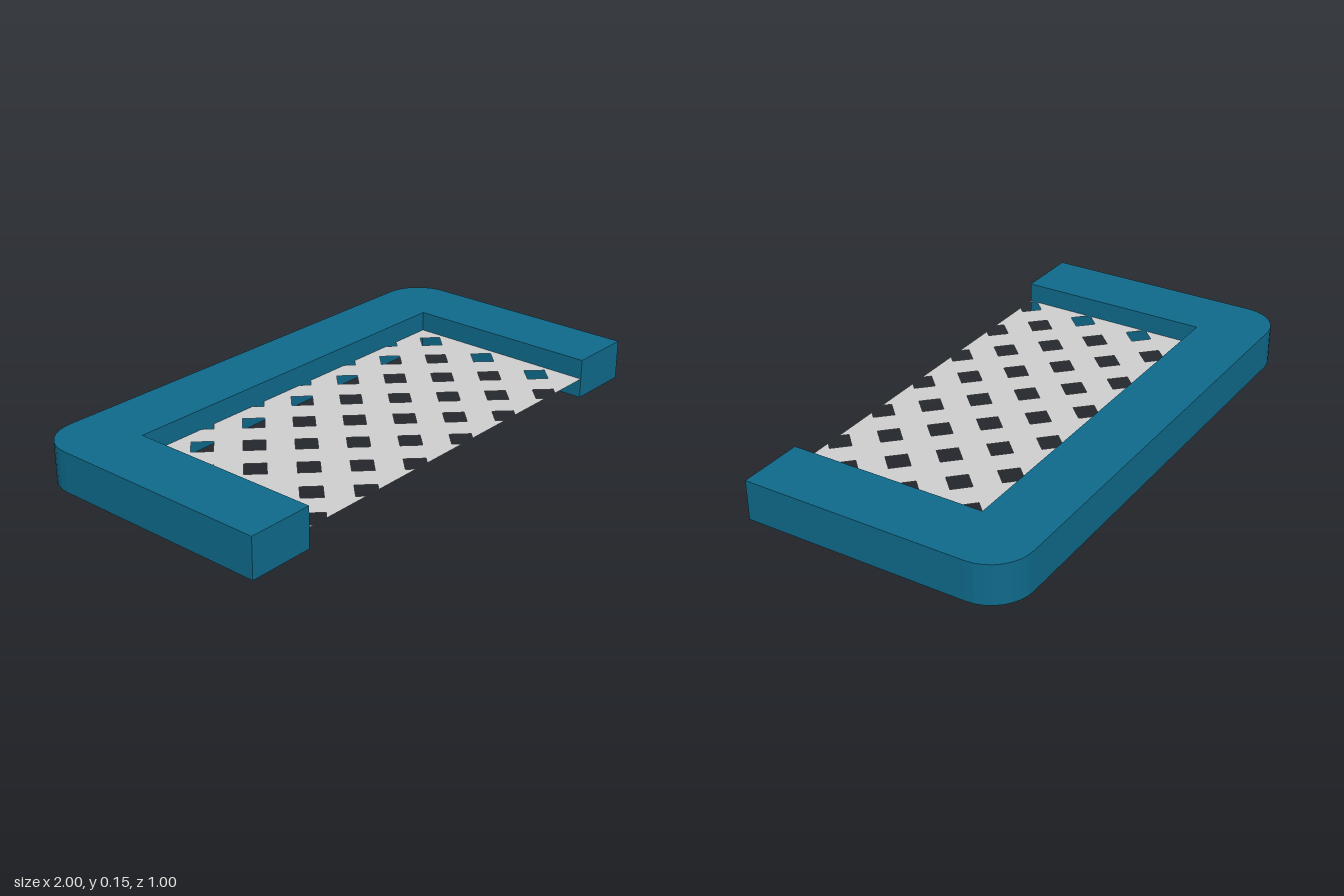
import * as THREE from 'three';

const HEIGHT = 0.15;
const PITCH = 0.25;  // spacing of holes within a row
const HOLE = 0.055;  // half diagonal of a hole

// Shapes are drawn in plan with the back at +y, then laid flat.
function createModel() {
  const group = new THREE.Group();
  const blue = new THREE.MeshStandardMaterial({ color: 0x0f6a8b });
  blue.name = 'frame blue';
  const grey = new THREE.MeshStandardMaterial({ color: 0xcfcfcf, side: THREE.DoubleSide });
  grey.name = 'mesh grey';

  const add = (name, geometry, material, y) => {
    const mesh = new THREE.Mesh(geometry.rotateX(-Math.PI / 2), material);
    mesh.name = name;
    mesh.position.y = y;
    group.add(mesh);
  };

  // U-shaped frame, open at the front, rounded at the two back corners
  const r = 0.15;
  const u = new THREE.Shape();
  u.moveTo(-1, -0.5);
  u.lineTo(-0.75, -0.5);
  u.lineTo(-0.75, 0.25);
  u.lineTo(0.75, 0.25);
  u.lineTo(0.75, -0.5);
  u.lineTo(1, -0.5);
  u.lineTo(1, 0.5 - r);
  u.absarc(1 - r, 0.5 - r, r, 0, Math.PI / 2, false);
  u.absarc(-1 + r, 0.5 - r, r, Math.PI / 2, Math.PI, false);
  u.closePath();
  add('frame', new THREE.ExtrudeGeometry(u, { depth: HEIGHT, bevelEnabled: false, curveSegments: 4 }), blue, 0);

  // Lattice sheet: its front and back edges cut through a row of holes
  const edge = 0.76;
  const rowX = (start) => Array.from({ length: 6 }, (_, i) => start + i * PITCH);
  const cut = HOLE - 0.025;
  const sheet = new THREE.Shape();
  sheet.moveTo(-edge, -0.5);
  for (const x of rowX(-0.7)) {
    sheet.lineTo(x - cut, -0.5);
    sheet.lineTo(x - HOLE, -0.475);
    sheet.lineTo(x, -0.475 + HOLE);
    sheet.lineTo(x + HOLE, -0.475);
    sheet.lineTo(x + cut, -0.5);
  }
  sheet.lineTo(edge, -0.5);
  sheet.lineTo(edge, 0.25);
  for (const x of rowX(-0.7).reverse()) {
    sheet.lineTo(x + cut, 0.25);
    sheet.lineTo(x, 0.25 - cut);
    sheet.lineTo(x - cut, 0.25);
  }
  sheet.lineTo(-edge, 0.25);
  sheet.closePath();

  // Staggered rows of diamond holes
  for (let row = 0; row < 5; row++) {
    const y = 0.15 - row * PITCH / 2;
    for (const x of rowX(row % 2 ? -0.7 : -0.575)) {
      const hole = new THREE.Path();
      hole.moveTo(x - HOLE, y);
      hole.lineTo(x, y + HOLE);
      hole.lineTo(x + HOLE, y);
      hole.lineTo(x, y - HOLE);
      hole.closePath();
      sheet.holes.push(hole);
    }
  }
  add('latticeSheet', new THREE.ShapeGeometry(sheet), grey, HEIGHT / 2);

  return group;
}

export { createModel };
